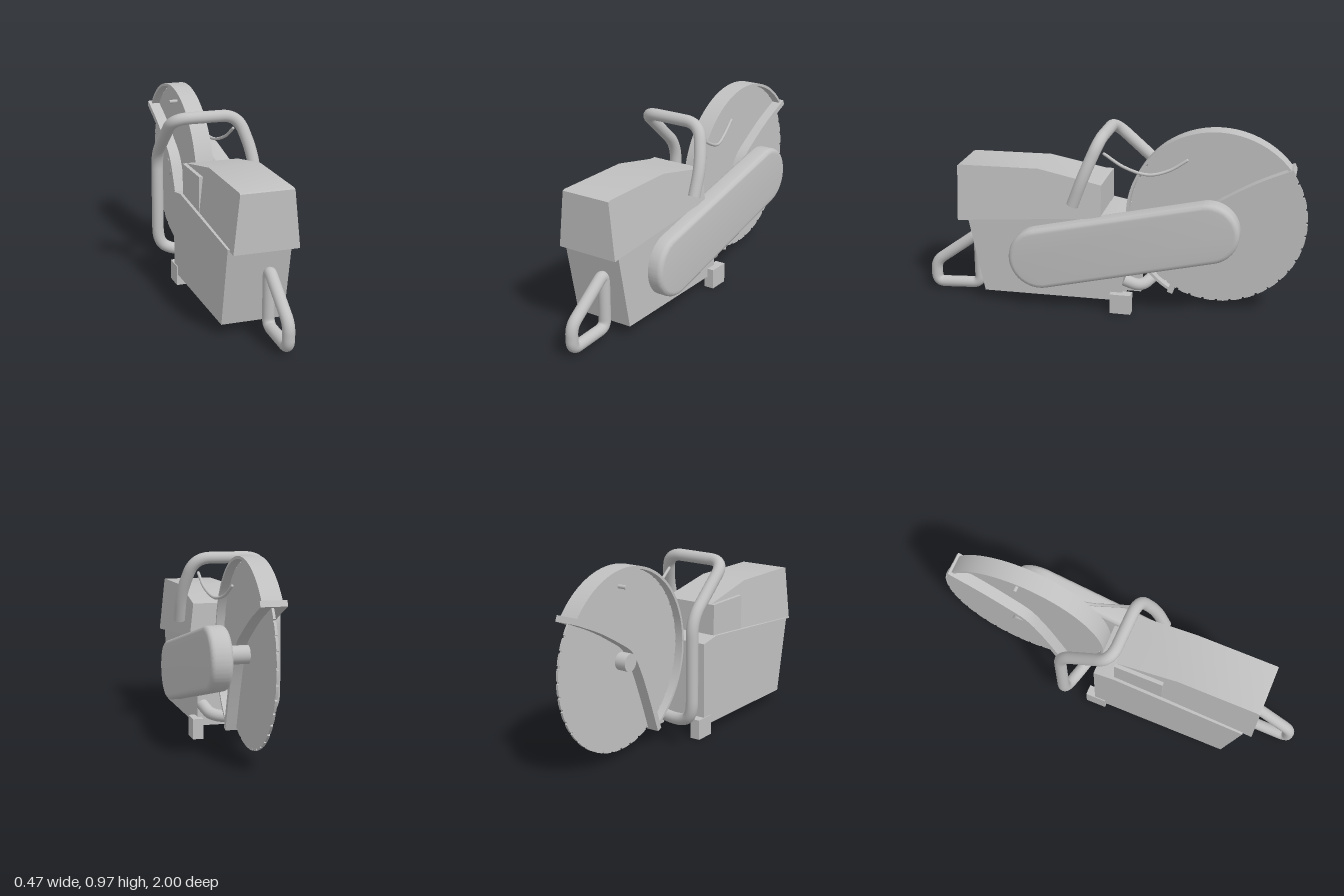
import * as THREE from 'three';
import { toCreasedNormals } from 'three/addons/utils/BufferGeometryUtils.js';

const CZ = -0.545, CY = 0.5; // blade axle

export function createModel() {
  const group = new THREE.Group();
  const grey = new THREE.MeshStandardMaterial({ color: 0xc0c0c0 });
  grey.name = 'lightGrey';

  const add = (name, geometry) => {
    const mesh = new THREE.Mesh(geometry, grey);
    mesh.name = name;
    group.add(mesh);
    return mesh;
  };
  const box = (name, x0, x1, y0, y1, z0, z1) =>
    add(name, new THREE.BoxGeometry(x1 - x0, y1 - y0, z1 - z0))
      .position.set((x0 + x1) / 2, (y0 + y1) / 2, (z0 + z1) / 2);

  // Side outline given as (z, y), extruded across x0..x1
  const slab = (shape, x0, x1, bevel = 0) => {
    const g = new THREE.ExtrudeGeometry(shape, {
      depth: x1 - x0 - 2 * bevel, curveSegments: 32, bevelEnabled: bevel > 0,
      bevelSize: bevel, bevelThickness: bevel, bevelOffset: -bevel, bevelSegments: 4,
    });
    g.rotateY(-Math.PI / 2);
    g.translate(x1 - bevel, 0, 0);
    return toCreasedNormals(g, 0.6);
  };
  const outline = (pts) => new THREE.Shape(pts.map(([z, y]) => new THREE.Vector2(z, y)));

  // Bent pipe: straight runs joined by rounded corners
  const pipe = (name, points, r, bend, closed = false) => {
    const p = points.map((a) => new THREE.Vector3(...a));
    const n = p.length, path = new THREE.CurvePath();
    const toward = (a, b) => a.clone().lerp(b, Math.min(0.48, bend / a.distanceTo(b)));
    let last = closed ? toward(p[0], p[1]) : p[0];
    for (let i = 1; i < (closed ? n + 1 : n - 1); i++) {
      const c = p[i % n], a = toward(c, p[i - 1]), b = toward(c, p[(i + 1) % n]);
      path.add(new THREE.LineCurve3(last, a));
      path.add(new THREE.QuadraticBezierCurve3(a, c, b));
      last = b;
    }
    if (!closed) path.add(new THREE.LineCurve3(last, p[n - 1]));
    add(name, new THREE.TubeGeometry(path, 160, r, 20, closed));
    if (closed) return;
    for (const [end, next] of [[p[0], p[1]], [p[n - 1], p[n - 2]]]) {
      const cap = add(name + 'Cap', new THREE.CircleGeometry(r, 20));
      cap.position.copy(end);
      cap.lookAt(end.clone().multiplyScalar(2).sub(next));
    }
  };

  // Engine housing
  add('engineBody', slab(outline([
    [0.66, 0.055], [0.742, 0.46], [0.03, 0.52], [-0.08, 0.5], [-0.08, 0.06],
  ]), -0.165, 0.155));

  // Top cover, narrowing upwards
  let cover = slab(outline([
    [0.79, 0.447], [0.79, 0.735], [0.775, 0.74], [0.36, 0.745], [0.03, 0.68], [0.03, 0.51],
  ]), -0.155, 0.175);
  const pos = cover.attributes.position;
  for (let i = 0; i < pos.count; i++) {
    const k = 1 - 0.19 * (pos.getY(i) - 0.447) / 0.293;
    pos.setX(i, 0.01 + (pos.getX(i) - 0.01) * k);
  }
  cover.computeVertexNormals();
  add('topCover', toCreasedNormals(cover, 0.4));
  box('sidePanel', -0.15, -0.08, 0.49, 0.68, 0.028, 0.29);

  // Feet
  box('rightFoot', -0.17, -0.115, 0, 0.105, -0.13, -0.02);
  box('leftFoot', 0.135, 0.19, 0, 0.105, -0.13, -0.02);

  // Belt arm: capsule outline with rounded rims
  const c1 = [0.347, 0.28], c2 = [-0.522, 0.483], q = Math.PI / 2;
  const dir = Math.atan2(c2[1] - c1[1], c2[0] - c1[0]);
  const arm = new THREE.Shape();
  arm.absarc(...c1, 0.162, dir + q, dir + 3 * q, false);
  arm.absarc(...c2, 0.157, dir - q, dir + q, false);
  arm.closePath();
  add('beltArm', slab(arm, 0.12, 0.23, 0.025));

  // Notched cutting blade
  const teeth = 40, rim = [];
  for (let i = 0; i < teeth; i++) {
    for (const [t, r] of [[0, 0.455], [0.4, 0.456], [0.8, 0.455], [0.83, 0.447], [0.97, 0.447]]) {
      const a = ((i + t) / teeth) * Math.PI * 2;
      rim.push([CZ + r * Math.cos(a), CY + r * Math.sin(a)]);
    }
  }
  add('blade', slab(outline(rim), 0.005, 0.017));

  // Axle hub
  const hub = new THREE.CylinderGeometry(0.045, 0.045, 0.18, 28);
  hub.rotateZ(q);
  add('hub', hub).position.set(0.035, CY, CZ);

  // Blade guard: curved rim
  const a0 = -1.04, a1 = 2.5, guard = new THREE.Shape();
  guard.absarc(CZ, CY, 0.466, a0, a1, false);
  guard.absarc(CZ, CY, 0.452, a1, a0, true);
  guard.closePath();
  add('guardRim', slab(guard, -0.038, 0.06));

  // Guard edge strip, swept over the hub
  const edge = new THREE.CatmullRomCurve3([
    [-0.925, 0.785], [-0.76, 0.71], [-0.62, 0.63], [-0.52, 0.56], [-0.45, 0.44], [-0.38, 0.27], [-0.315, 0.09],
  ].map(([z, y]) => new THREE.Vector3(z, y, 0)));
  const upper = [], lower = [];
  for (let i = 0; i <= 30; i++) {
    const p = edge.getPoint(i / 30), t = edge.getTangent(i / 30);
    upper.push([p.x - t.y * 0.015, p.y + t.x * 0.015]);
    lower.unshift([p.x + t.y * 0.015, p.y - t.x * 0.015]);
  }
  add('guardEdge', slab(outline([...upper, ...lower]), -0.055, 0.072));

  // Guard bolt
  const bolt = new THREE.CylinderGeometry(0.01, 0.01, 0.05, 12);
  bolt.rotateZ(q);
  add('guardBolt', bolt).position.set(-0.015, 0.87, -0.55);

  // Wrap-around front handle
  pipe('frontHandle', [
    [0.195, 0.58, 0.17], [0.195, 0.73, 0.115], [0.14, 0.915, 0.04], [-0.205, 0.915, 0.035],
    [-0.205, 0.67, -0.245], [-0.205, 0.17, -0.245], [-0.12, 0.125, -0.225],
    [0.1, 0.125, -0.17], [0.13, 0.17, -0.08],
  ], 0.031, 0.085);

  // Closed rear handle loop
  pipe('rearHandle', [
    [0.05, 0.18, 0.72], [0.05, 0.335, 0.72], [0.05, 0.155, 0.967], [0.05, 0.036, 0.967], [0.05, 0.05, 0.72],
  ], 0.03, 0.045, true);

  // Thin water hose
  const hose = new THREE.CatmullRomCurve3([
    [0.125, 0.84, 0.02], [0.118, 0.775, -0.08], [0.095, 0.735, -0.2], [0.07, 0.755, -0.3], [0.055, 0.81, -0.39],
  ].map((a) => new THREE.Vector3(...a)));
  add('waterHose', new THREE.TubeGeometry(hose, 40, 0.008, 10));
  for (const t of [0, 1]) {
    add('hoseEnd', new THREE.SphereGeometry(0.008, 10, 8)).position.copy(hose.getPoint(t));
  }

  return group;
}
